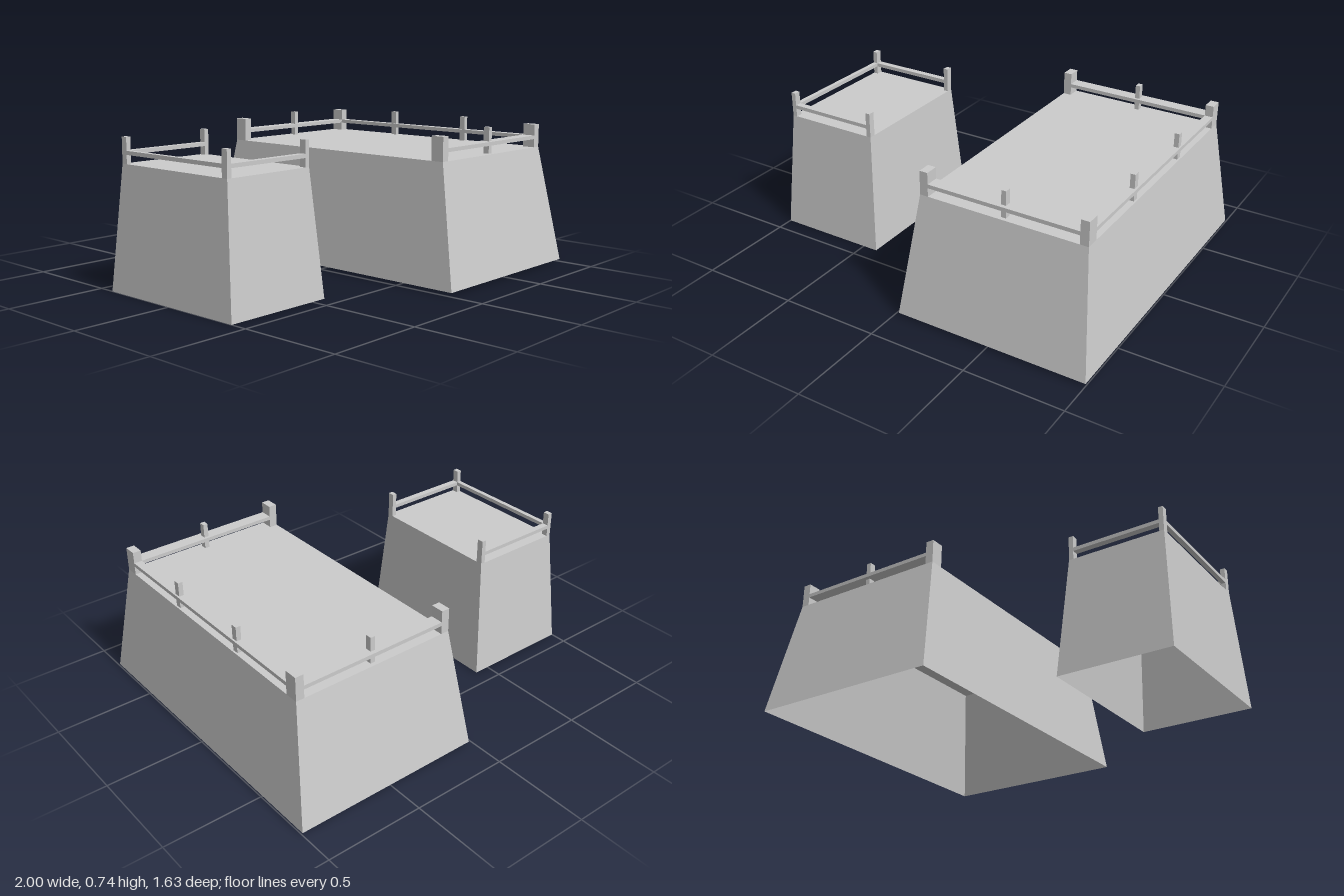
import * as THREE from 'three';

const material = new THREE.MeshStandardMaterial({ color: 0xcccccc, flatShading: true, side: THREE.DoubleSide });

// Box given by its min and max corners
function block(name, [x0, x1], [y0, y1], [z0, z1]) {
  const mesh = new THREE.Mesh(new THREE.BoxGeometry(x1 - x0, y1 - y0, z1 - z0), material);
  mesh.position.set((x0 + x1) / 2, (y0 + y1) / 2, (z0 + z1) / 2);
  mesh.name = name;
  return mesh;
}

// Tapered shell, closed on top and open underneath
function taperedBody(base, top) {
  const ring = ({ x, y, z }) => [[x[0], y, z], [x[1], y, z], [x[1], y, -z], [x[0], y, -z]];
  const lower = ring(base), upper = ring(top), points = [];
  const quad = (a, b, c, d) => points.push(...a, ...b, ...c, ...a, ...c, ...d);
  for (let i = 0; i < 4; i++) {
    const j = (i + 1) % 4;
    quad(lower[i], lower[j], upper[j], upper[i]);
  }
  quad(...upper);
  const geometry = new THREE.BufferGeometry();
  geometry.setAttribute('position', new THREE.Float32BufferAttribute(points, 3));
  geometry.computeVertexNormals();
  const mesh = new THREE.Mesh(geometry, material);
  mesh.name = 'taperedBody';
  return mesh;
}

// Platform with corner posts and rails on three sides; openSide is the x side without a rail
function platform(name, { base, top, post, postTop, openSide }) {
  const group = new THREE.Group();
  group.name = name;
  group.add(taperedBody(base, top));
  const [x0, x1] = top.x, z = top.z, [pw, pd] = post;
  const postY = [top.y, postTop], railY = [0.655, 0.674];

  for (const px of [[x0, x0 + pw], [x1 - pw, x1]])
    for (const pz of [[-z, -z + pd], [z - pd, z]])
      group.add(block('cornerPost', px, postY, pz));

  group.add(block('backRail', [x0 + pw, x1 - pw], railY, [-z, -z + pd]));
  group.add(block('frontRail', [x0 + pw, x1 - pw], railY, [z - pd, z]));
  const railX = openSide > 0 ? [x0, x0 + pw] : [x1 - pw, x1];
  group.add(block('sideRail', railX, railY, [-z + pd, z - pd]));
  return group;
}

export function createModel() {
  const model = new THREE.Group();
  model.name = 'railedPlatforms';

  const small = platform('smallPlatform', {
    base: { x: [-1, -0.42], y: 0, z: 0.415 },
    top: { x: [-0.961, -0.461], y: 0.612, z: 0.358 },
    post: [0.024, 0.033], postTop: 0.738, openSide: 1,
  });

  const large = platform('largePlatform', {
    base: { x: [0.02, 1], y: 0.013, z: 0.815 },
    top: { x: [0.085, 0.929], y: 0.612, z: 0.704 },
    post: [0.042, 0.067], postTop: 0.731, openSide: -1,
  });

  // Slim posts through the rails of the large platform
  for (const [x, z] of [[0.508, -0.668], [0.508, 0.668], [0.908, -0.241], [0.908, 0.241]])
    large.add(block('middlePost', [x - 0.012, x + 0.012], [0.612, 0.744], [z - 0.016, z + 0.016]));

  model.add(small, large);
  return model;
}
